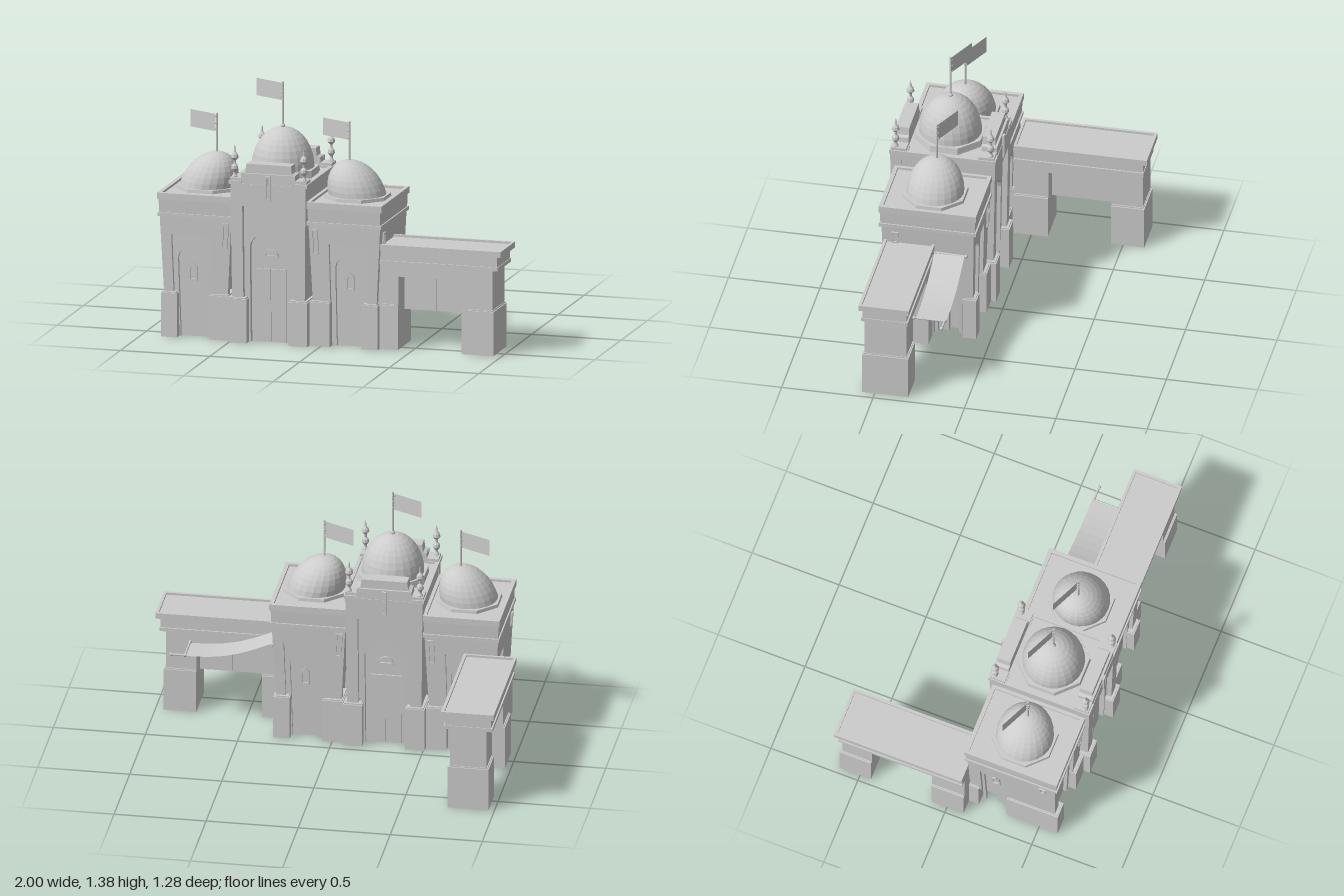
import * as THREE from 'three';

const stone = new THREE.MeshStandardMaterial({ color: 0xcccccc, flatShading: true, side: THREE.DoubleSide });
stone.name = 'grey stone';

function add(parent, name, geo, x = 0, y = 0, z = 0) {
  const mesh = new THREE.Mesh(geo, stone);
  mesh.name = name;
  mesh.position.set(x, y, z);
  parent.add(mesh);
  return mesh;
}

// Box given by half sizes and a height range
const slab = (hx, hz, y0, y1) => new THREE.BoxGeometry(hx * 2, y1 - y0, hz * 2).translate(0, (y0 + y1) / 2, 0);

// Widen the upper part of a geometry: scale 1 at height top, kx/kz at height 0.24
function flare(geo, kx, kz, top) {
  const p = geo.attributes.position;
  for (let i = 0; i < p.count; i++) {
    const t = (top - p.getY(i)) / (top - 0.24);
    p.setX(i, p.getX(i) * (1 - (1 - kx) * t));
    p.setZ(i, p.getZ(i) * (1 - (1 - kz) * t));
  }
  geo.computeVertexNormals();
  return geo;
}

const shapeOf = pts => new THREE.Shape(pts.map(([x, y]) => new THREE.Vector2(x, y)));
const extrude = (shape, depth) => new THREE.ExtrudeGeometry(shape, { depth, bevelEnabled: false });
const rect = (x0, x1, y0, y1) => [[x0, y0], [x0, y1], [x1, y1], [x1, y0]];

// Plate with one hole
function frame(outer, inner, depth) {
  const s = shapeOf(outer);
  s.holes.push(shapeOf(inner));
  return extrude(s, depth);
}

// Rectangular rim with an open middle
const rim = (hx, hz, t, y0, y1) => frame(rect(-hx, hx, -hz, hz), rect(t - hx, hx - t, t - hz, hz - t), y1 - y0)
  .rotateX(-Math.PI / 2).translate(0, y0, 0);

// Pointed arch outline from lower left to lower right
function arch(cx, a, y0, spring, peak) {
  const h = peak - spring;
  const left = [[cx - a, y0], [cx - a, spring], [cx - a * 0.93, spring + h * 0.27], [cx - a * 0.74, spring + h * 0.52],
    [cx - a * 0.35, spring + h * 0.77], [cx, peak]];
  return [...left, ...left.slice(0, -1).reverse().map(([x, y]) => [2 * cx - x, y])];
}

// Half round outline
const halfRound = (r, y) => Array.from({ length: 11 }, (_, i) => [-r * Math.cos(i * Math.PI / 10), y + r * Math.sin(i * Math.PI / 10)]);

// Wall slab with an opening that reaches its foot
function portal(x0, x1, h, opening, depth) {
  const foot = opening[0][1];
  return extrude(shapeOf([[x0, foot], ...opening, [x1, foot], [x1, h], [x0, h]]), depth);
}

// Raised window frames
const windowFrame = cx => frame(arch(cx, 0.026, 0.305, 0.365, 0.405), arch(cx, 0.016, 0.315, 0.365, 0.39), 0.012);
const slit = (cx, a, y0, y1) => frame(rect(cx - a, cx + a, y0, y1), rect(cx - a + 0.01, cx + a - 0.01, y0 + 0.01, y1 - 0.01), 0.012);

// Plinth block with an open underside
function pier(parent, x0, x1, z0, z1) {
  const g = slab((x1 - x0) / 2, (z1 - z0) / 2, 0, 0.24);
  const idx = Array.from(g.index.array);
  idx.splice(18, 6);
  g.setIndex(idx);
  add(parent, 'plinth', g, (x0 + x1) / 2, 0, (z0 + z1) / 2);
  add(parent, 'plinthCap', slab((x1 - x0) / 2 - 0.006, (z1 - z0) / 2 - 0.006, 0.24, 0.247), (x0 + x1) / 2, 0, (z0 + z1) / 2);
}

// Dome, its base, pole and flag; lean moves the apex sideways
function dome(parent, r, h, y, lean, poleH) {
  const g = new THREE.SphereGeometry(1, 24, 9, 0, Math.PI * 2, 0, Math.PI / 2).scale(r, h, r);
  const p = g.attributes.position;
  for (let i = 0; i < p.count; i++) p.setX(i, p.getX(i) + lean * p.getY(i) / h);
  add(parent, 'dome', g, 0, y, 0);
  add(parent, 'domeBase', new THREE.CylinderGeometry(r * 1.15, r * 1.18, 0.03, 8).rotateY(Math.PI / 8), 0, y - 0.012, 0);
  const flag = new THREE.Group();
  flag.name = 'flag';
  flag.position.set(lean, y + h, 0);
  parent.add(flag);
  add(flag, 'pole', new THREE.CylinderGeometry(0.005, 0.006, poleH, 8), 0, poleH / 2 - 0.005, 0);
  const cloth = add(flag, 'flagCloth', new THREE.PlaneGeometry(0.18, 0.095).translate(-0.098, 0, 0), 0, poleH - 0.06, 0);
  cloth.rotation.y = -0.44;
  for (const dy of [-0.035, 0, 0.035]) {
    add(flag, 'flagRing', new THREE.TorusGeometry(0.009, 0.002, 5, 8).rotateX(Math.PI / 2), -0.004, poleH - 0.06 + dy, 0);
  }
}

// Side tower; m = 1 stands at +x, -1 at -x of the gatehouse
function sideTower(m) {
  const g = new THREE.Group();
  g.name = 'sideTower';
  const X = 0.2, Z = 0.252, H = 0.665, c = m * 0.025, out = m * Math.PI / 2;
  const wall = (name, geo, ry = 0) => add(g, name, flare(geo.rotateY(ry), 0.89, 0.965, H));
  wall('core', slab(X - 0.04, Z - 0.04, 0.22, H));
  wall('coreFoot', slab(0.1, Z - 0.04, 0, 0.22).translate(c, 0, 0));
  wall('coreFoot', slab(X - 0.04, 0.11, 0, 0.22));
  for (const ry of [0, Math.PI]) {
    const cc = ry ? -c : c;
    wall('wall', portal(-X, X, H, rect(cc - 0.115, cc + 0.115, 0.2, 0.56), 0.04).translate(0, 0, Z - 0.04), ry);
    wall('archPanel', portal(cc - 0.117, cc + 0.117, 0.56, arch(cc, 0.086, 0, 0.43, 0.51), 0.02).translate(0, 0, Z - 0.04), ry);
    wall('archWindow', windowFrame(cc).translate(0, 0, Z - 0.042), ry);
    wall('slitWindow', slit((ry ? 1 : -1) * m * 0.168, 0.019, 0.5, 0.64).translate(0, 0, Z - 0.003), ry);
  }
  // Outer side wall
  const u = m * 0.11;
  wall('outerWall', portal(-Z, Z, H, rect(u - 0.075, u + 0.075, 0.2, 0.53), 0.04).translate(0, 0, X - 0.04), out);
  wall('archPanel', portal(u - 0.077, u + 0.077, 0.53, arch(u, 0.06, 0, 0.43, 0.5), 0.02).translate(0, 0, X - 0.04), out);
  wall('archWindow', windowFrame(u).translate(0, 0, X - 0.042), out);
  wall('slitWindow', slit(m * -0.18, 0.02, 0.56, 0.63).translate(0, 0, X - 0.003), out);
  // Bands, cornice and sunken roof
  add(g, 'band', slab(0.208, 0.266, 0.66, 0.68));
  add(g, 'upperWall', flare(slab(0.204, 0.262, 0.68, 0.76), 0.9, 0.9, 0.76));
  add(g, 'cornice', rim(0.211, 0.266, 0.022, 0.752, 0.788));
  add(g, 'roof', slab(0.195, 0.25, 0.75, 0.775));
  dome(g, 0.156, 0.185, 0.79, -m * 0.045, 0.215);
  // Corner plinths
  const outer = m > 0 ? [0.1, 0.19] : [-0.19, -0.1];
  const inner = m > 0 ? [-0.19, -0.078] : [0.078, 0.19];
  pier(g, ...outer, -0.264, -0.19);
  pier(g, ...outer, -0.03, 0.264);
  pier(g, ...inner, -0.264, -0.1);
  pier(g, ...inner, 0.1, 0.264);
  g.position.set(-0.285 + m * 0.415, 0, 0.342);
  return g;
}

// Tall middle gatehouse
function gatehouse() {
  const g = new THREE.Group();
  g.name = 'gatehouse';
  const X = 0.21, Z = 0.287, H = 0.872;
  const wall = (name, geo, ry = 0) => add(g, name, flare(geo.rotateY(ry), 0.965, 0.965, H));
  wall('core', slab(X - 0.002, Z - 0.06, 0.22, H));
  wall('coreFoot', slab(0.13, Z - 0.06, 0, 0.22));
  wall('coreFoot', slab(X - 0.002, 0.12, 0, 0.22));
  const finial = [[0.014, 0], [0.016, 0.02], [0.008, 0.035], [0.009, 0.045], [0.02, 0.062], [0.018, 0.078], [0.007, 0.09],
    [0.008, 0.108], [0.022, 0.124], [0.018, 0.14], [0.006, 0.155], [0.003, 0.185], [0, 0.19]];
  const lathe = new THREE.LatheGeometry(finial.map(([x, y]) => new THREE.Vector2(x, y)), 8);
  for (const ry of [0, Math.PI]) {
    wall('wall', portal(-X, X, H, rect(-0.145, 0.145, 0.2, 0.75), 0.06).translate(0, 0, Z - 0.06), ry);
    wall('archPanel', portal(-0.147, 0.147, 0.75, arch(0, 0.113, 0, 0.52, 0.625), 0.03).translate(0, 0, Z - 0.06), ry);
    for (const s of [-1, 1]) wall('doorLeaf', slab(0.0445, 0.005, 0, 0.4).translate(s * 0.046, 0, Z - 0.056), ry);
    wall('lunette', frame(halfRound(0.045, 0.465), halfRound(0.03, 0.473), 0.012).translate(0, 0, Z - 0.062), ry);
    // Parapet with its tall slit
    const outline = [[-0.155, 0.86], [0.155, 0.86], [0.148, 0.93], [0.13, 0.936], [0.124, 0.98], [-0.124, 0.98], [-0.13, 0.936], [-0.148, 0.93]];
    add(g, 'parapet', extrude(shapeOf(outline), 0.072).translate(0, 0, 0.2).rotateY(ry));
    add(g, 'parapetFoot', extrude(shapeOf(rect(-0.15, 0.15, 0.86, 0.93)), 0.02).translate(0, 0, 0.264).rotateY(ry));
    add(g, 'slitWindow', slit(0, 0.014, 0.785, 0.922).translate(0, 0, 0.284).rotateY(ry));
    for (const s of [-1, 1]) {
      add(g, 'cornice', slab(0.035, 0.05, 0.866, 0.886), s * 0.184, 0, ry ? -0.241 : 0.241);
      add(g, 'cornerBlock', slab(0.035, 0.042, 0.886, 0.902), s * 0.178, 0, ry ? -0.24 : 0.24);
      add(g, 'finial', lathe, s * 0.193, 0.885, ry ? -0.26 : 0.26);
      pier(g, s > 0 ? 0.117 : -0.222, s > 0 ? 0.222 : -0.117, ry ? -0.296 : 0.11, ry ? -0.11 : 0.296);
    }
  }
  for (const s of [-1, 1]) add(g, 'sideCornice', slab(0.01, 0.2, 0.866, 0.886), s * 0.209);
  add(g, 'roof', slab(0.205, 0.27, 0.862, 0.876));
  add(g, 'drum', new THREE.CylinderGeometry(0.185, 0.195, 0.04, 8).rotateY(Math.PI / 8), 0, 0.89, 0);
  dome(g, 0.169, 0.22, 0.915, 0, 0.25);
  add(g, 'poleFoot', new THREE.SphereGeometry(0.013, 8, 6), 0, 1.139, 0);
  g.position.set(-0.285, 0, 0.345);
  return g;
}

// Side passage along +x; a..b is the opening, w the half width, over the overhang at its end, inset that of its sides
function passage(x0, end, a, b, w, over, inset) {
  const g = new THREE.Group();
  g.name = 'passage';
  const hw = w - inset;
  add(g, 'passageWall', portal(x0, end - over - 0.01, 0.48, rect(a, b, 0.235, 0.4), hw * 2 - 0.024).translate(0, 0, 0.012 - hw));
  const mid = (a + b) / 2, q = (b - a) / 4;
  for (const s of [-1, 1]) add(g, 'gateLeaf', slab(q - 0.001, 0.006, 0.2, 0.402), mid + s * q, 0, 0);
  pier(g, x0, a, -hw, hw);
  pier(g, b, end - over, -hw, hw);
  const c = (x0 + end) / 2, h = (end - x0) / 2;
  add(g, 'band', slab(h - 0.01, w - 0.002, 0.466, 0.486), c - 0.01);
  add(g, 'upperWall', slab(h - 0.012, w - 0.01, 0.486, 0.55), c - 0.012);
  add(g, 'cornice', rim(h, w + 0.008, 0.016, 0.543, 0.575), c);
  add(g, 'roof', slab(h - 0.01, w - 0.004, 0.54, 0.563), c);
  return g;
}

// Sagging cloth awning, hung high on the tower, with its rods
function awning() {
  const g = new THREE.Group();
  g.name = 'awning';
  const cloth = new THREE.PlaneGeometry(0.48, 0.165, 10, 1).rotateX(-Math.PI / 2).translate(0.57, 0, 0.222);
  const p = cloth.attributes.position;
  for (let i = 0; i < p.count; i++) {
    const t = (p.getX(i) - 0.33) / 0.48;
    p.setY(i, 0.53 - 0.115 * t - 0.035 * Math.sin(Math.PI * t));
  }
  add(g, 'cloth', cloth);
  const rod = (a, b) => {
    const path = new THREE.LineCurve3(new THREE.Vector3(...a), new THREE.Vector3(...b));
    add(g, 'rod', new THREE.TubeGeometry(path, 1, 0.006, 8));
    for (const e of [a, b]) add(g, 'rodKnob', new THREE.SphereGeometry(0.01, 8, 6), ...e);
  };
  rod([0.33, 0.53, 0.31], [0.33, 0.525, 0.13]);
  rod([0.81, 0.415, 0.315], [0.81, 0.415, 0.148]);
  rod([0.81, 0.415, 0.148], [0.885, 0.415, 0.148]);
  return g;
}

export function createModel() {
  const model = new THREE.Group();
  model.name = 'domedPalace';
  model.add(sideTower(1), sideTower(-1), gatehouse(), awning());
  const right = passage(0.29, 0.998, 0.422, 0.778, 0.13, 0.043, 0.004);
  right.position.z = 0.443;
  model.add(right);
  const rear = passage(-0.095, 0.638, 0.09, 0.437, 0.135, 0.021, 0.024);
  rear.rotation.y = Math.PI / 2;
  rear.position.x = -0.857;
  model.add(rear);
  return model;
}
